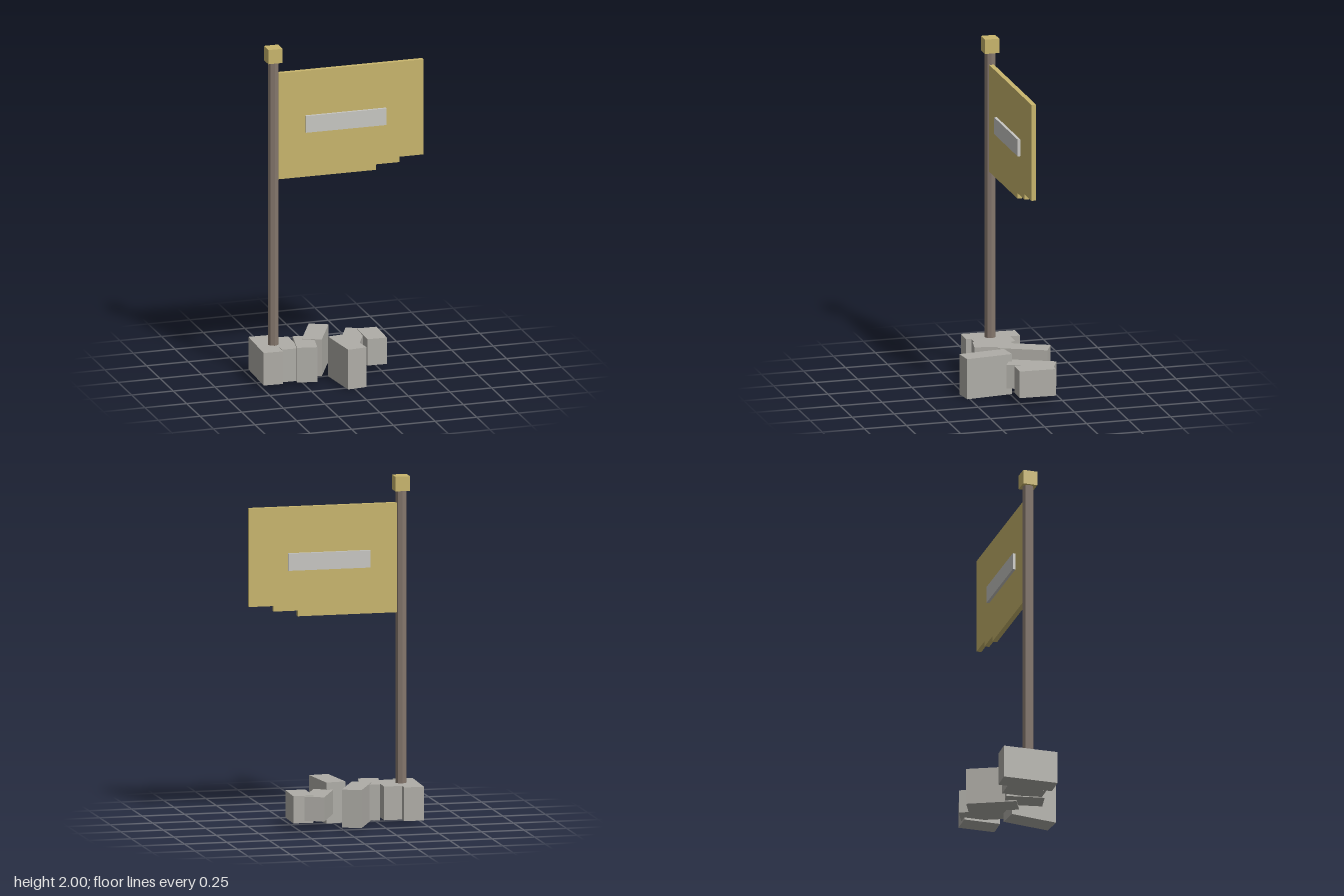
import * as THREE from 'three';

const mat = (name, color) => {
  const m = new THREE.MeshStandardMaterial({ color });
  m.name = name;
  return m;
};

export function createModel() {
  const stone = mat('stone', 0xafada7);
  const wood = mat('dark wood', 0x84766c);
  const gold = mat('gold cloth', 0xc9b66d);
  const silver = mat('pale silver', 0xc8c7c3);

  const model = new THREE.Group();
  model.name = 'flagOnRubble';

  const add = (name, geometry, material, x, y, z, turn = 0) => {
    const mesh = new THREE.Mesh(geometry, material);
    mesh.name = name;
    mesh.position.set(x, y, z);
    mesh.rotation.y = turn;
    model.add(mesh);
    return mesh;
  };

  // Rubble blocks: name, centre x, centre z, width, depth, bottom, top, turn
  const blocks = [
    ['baseBlock', -0.438, -0.022, 0.116, 0.319, 0.025, 0.22, -0.035],
    ['baseStep', -0.327, -0.007, 0.108, 0.232, 0.025, 0.22, -0.02],
    ['rubbleNearBase', -0.219, 0.028, 0.117, 0.221, 0.02, 0.228, -0.196],
    ['rubbleBackLong', -0.108, -0.126, 0.115, 0.29, 0.012, 0.232, -0.445],
    ['rubbleFront', 0.001, 0.134, 0.116, 0.278, 0, 0.238, 0.12],
    ['rubbleBackLow', 0.111, -0.108, 0.116, 0.272, 0.055, 0.195, -0.434],
    ['rubbleEnd', 0.223, -0.097, 0.117, 0.214, 0.042, 0.2, -0.03],
  ];
  for (const [name, x, z, w, d, y0, y1, turn] of blocks) {
    add(name, new THREE.BoxGeometry(w, y1 - y0, d), stone, x, (y0 + y1) / 2, z, turn);
  }

  // Eight-sided pole with a square finial
  const pole = add('pole', new THREE.CylinderGeometry(0.032, 0.032, 1.72, 8).toNonIndexed(), wood, -0.398, 1.06, -0.008);
  pole.geometry.computeVertexNormals();
  add('finial', new THREE.BoxGeometry(0.085, 0.085, 0.085), gold, -0.398, 1.9575, -0.008);

  // Flag with a stepped lower corner
  const outline = new THREE.Shape([
    [-0.385, 1.21], [0.213, 1.21], [0.213, 1.243], [0.355, 1.243],
    [0.355, 1.275], [0.5, 1.275], [0.5, 1.845], [-0.385, 1.845],
  ].map(([x, y]) => new THREE.Vector2(x, y)));
  add('flag', new THREE.ExtrudeGeometry(outline, { depth: 0.028, bevelEnabled: false }), gold, 0, 0, -0.022);

  // Bar showing on both faces of the flag
  add('flagBar', new THREE.BoxGeometry(0.482, 0.1, 0.06), silver, 0.031, 1.528, -0.008);

  return model;
}
